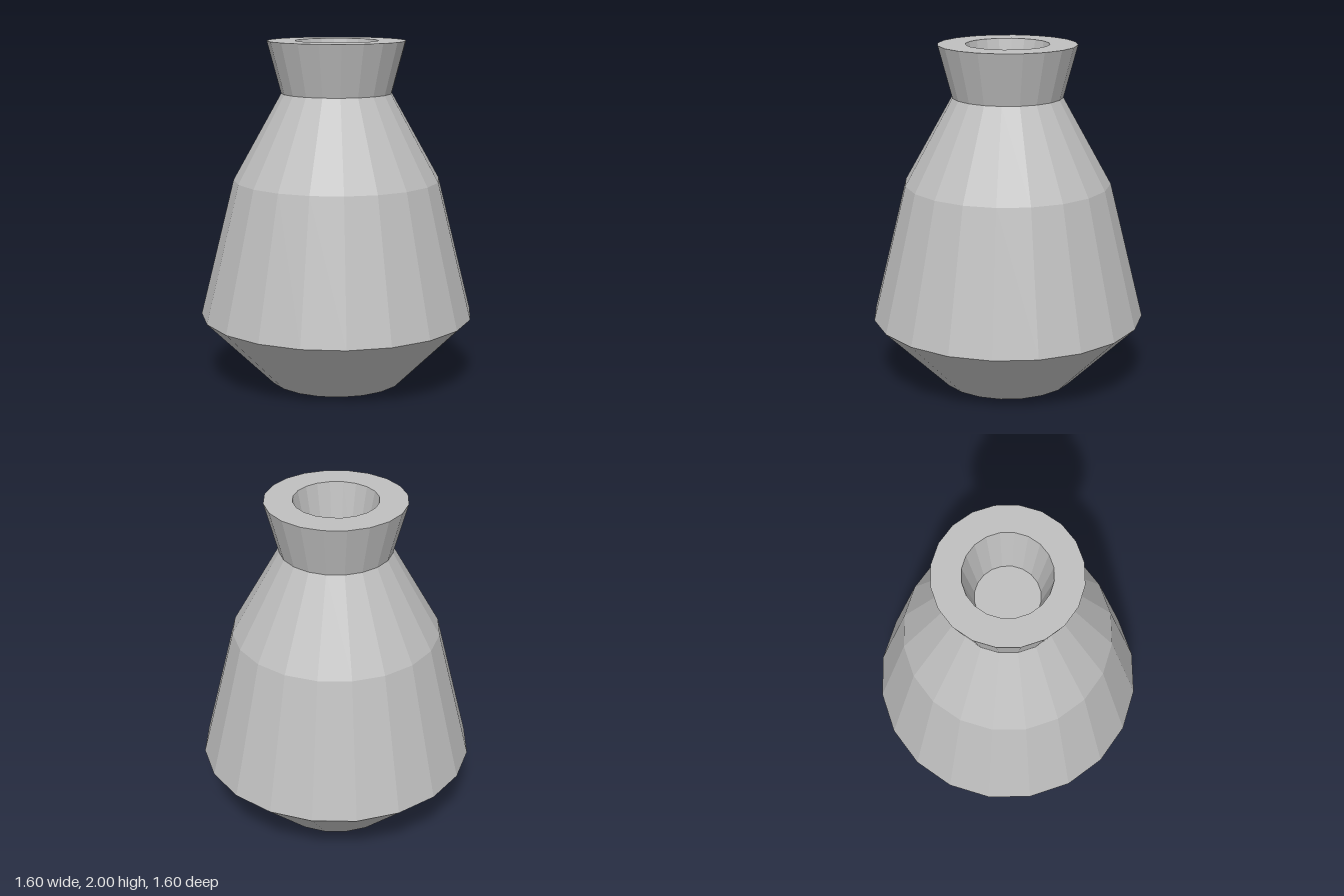
import * as THREE from 'three';

const SIDES = 20;

// Turned part from [radius, height] pairs, listed so that faces point outward
function turned(name, profile, material) {
  const points = profile.map(([r, y]) => new THREE.Vector2(r, y));
  const mesh = new THREE.Mesh(new THREE.LatheGeometry(points, SIDES), material);
  mesh.name = name;
  return mesh;
}

export function createModel() {
  const group = new THREE.Group();
  group.name = 'vase';

  const clay = new THREE.MeshStandardMaterial({ color: 0xbfbfbf, flatShading: true });
  clay.name = 'grey clay';

  group.add(
    // flat foot and flared underside
    turned('base', [[0, 0], [0.4, 0], [0.8, 0.4]], clay),
    // tapering belly and shoulder
    turned('body', [[0.8, 0.4], [0.6, 1.2], [0.32, 1.7]], clay),
    // flared neck with a flat rim
    turned('neck', [[0.32, 1.7], [0.4, 2], [0.24, 2]], clay),
    // narrowing opening
    turned('opening', [[0.24, 2], [0.18, 1.7], [0, 1.7]], clay)
  );
  return group;
}
